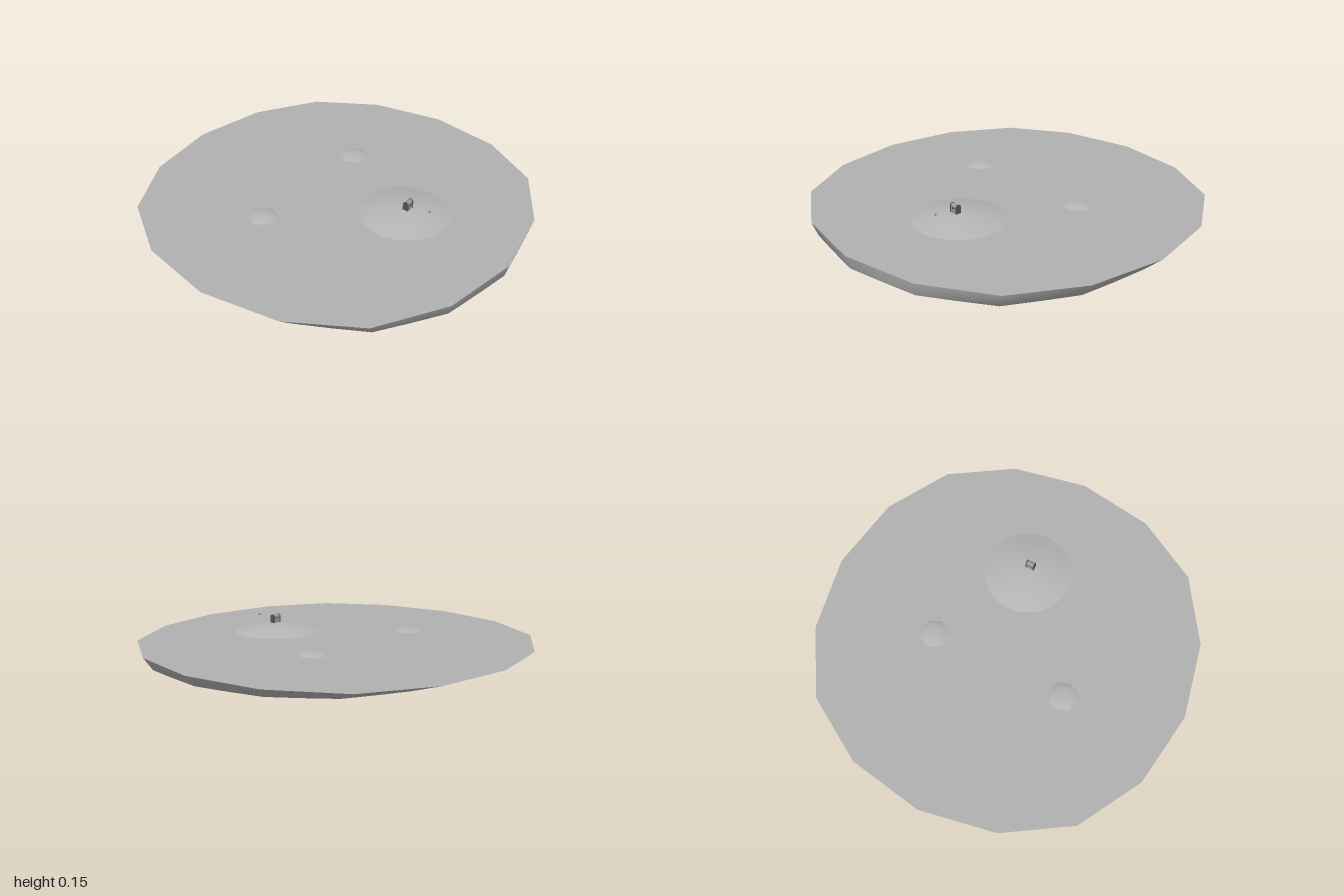
import * as THREE from 'three';

const WATER_Y = 0.07;
const HILL = { x: 0.06, z: 0.38 };

const mat = (name, color, side = THREE.FrontSide) => {
  const m = new THREE.MeshStandardMaterial({ color, side });
  m.name = name;
  return m;
};

// Sixteen-sided shoreline, one quarter turned four times
function shoreline() {
  const quarter = [[1, 0], [0.93, 0.4], [0.73, 0.73], [0.4, 0.93]];
  const pts = [];
  for (let q = 0; q < 4; q++) {
    for (const [x, y] of quarter) {
      pts.push(new THREE.Vector2(x, y).rotateAround(new THREE.Vector2(), q * Math.PI / 2));
    }
  }
  return pts;
}

// Lake bed: rings spreading from the hill top, flat floor, then up to the shore
function lakeBedGeometry(shore) {
  const rim = [];
  shore.forEach((p, i) => {
    rim.push(p, p.clone().lerp(shore[(i + 1) % shore.length], 0.5));
  });
  const n = rim.length, hillRings = 10, hillRadius = 0.57, rings = hillRings + 4;
  const pos = [], index = [];
  for (let i = 0; i <= rings; i++) {
    for (const p of rim) {
      const dx = p.x - HILL.x, dz = p.y - HILL.z, R = Math.hypot(dx, dz);
      const inset = 0.08 * R ** 3;
      let r, y = 0;
      if (i <= hillRings) {
        r = hillRadius * i / hillRings;
        y = 0.055 * (1 + Math.cos(Math.PI * r / hillRadius));
      } else if (i < rings) {
        r = THREE.MathUtils.lerp(hillRadius, R - inset, (i - hillRings) / 3);
      } else {
        r = R;
        y = WATER_Y;
      }
      pos.push(HILL.x + dx / R * r, y, HILL.z + dz / R * r);
    }
  }
  for (let i = 0; i < rings; i++) {
    for (let k = 0; k < n; k++) {
      const a = i * n + k, b = i * n + (k + 1) % n, c = a + n, d = b + n;
      if (i > 0) index.push(a, c, b);
      index.push(b, c, d);
    }
  }
  const g = new THREE.BufferGeometry();
  g.setAttribute('position', new THREE.Float32BufferAttribute(pos, 3));
  g.setIndex(index);
  g.computeVertexNormals();
  // The shared hill top points straight down like the faces around it
  for (let k = 0; k < n; k++) g.attributes.normal.setXYZ(k, 0, -1, 0);
  return g;
}

export function createModel() {
  const root = new THREE.Group();
  root.name = 'islandLake';
  const ground = mat('ground grey', 0xb4b4b4, THREE.DoubleSide);
  const water = mat('water grey', 0xb0b0b0, THREE.DoubleSide);
  const wood = mat('chest grey', 0x9a9a9a);
  const metal = mat('dark trim', 0x555555, THREE.DoubleSide);

  const add = (name, geo, material, x = 0, y = 0, z = 0, parent = root) => {
    const m = new THREE.Mesh(geo, material);
    m.name = name;
    m.position.set(x, y, z);
    parent.add(m);
    return m;
  };

  const shore = shoreline();
  add('lakeBed', lakeBedGeometry(shore), ground);
  add('waterSurface', new THREE.ShapeGeometry(new THREE.Shape(shore)), water, 0, WATER_Y, 0)
    .rotation.x = -Math.PI / 2;

  // Two low islets
  const profile = [[0.082, -0.002], [0.06, 0.009], [0.035, 0.014], [0, 0.015]]
    .map(([x, y]) => new THREE.Vector2(x, y));
  for (const [x, z] of [[-0.4, -0.17], [0.35, -0.155]]) {
    add('islet', new THREE.LatheGeometry(profile, 8), ground, x, WATER_Y, z);
  }

  // Small chest with a rounded lid on the hill
  const chest = new THREE.Group();
  chest.name = 'chest';
  chest.position.set(0.055, 0.108, 0.4);
  root.add(chest);
  add('chestBody', new THREE.BoxGeometry(0.044, 0.029, 0.028), wood, 0, 0.0145, 0, chest);
  const lid = (r, w) => new THREE.CylinderGeometry(r, r, w, 10, 1, false, 0, Math.PI)
    .rotateZ(Math.PI / 2);
  add('chestLid', lid(0.014, 0.044), wood, 0, 0.031, 0, chest);
  add('lidSeam', new THREE.BoxGeometry(0.046, 0.003, 0.03), metal, 0, 0.03, 0, chest);
  for (const s of [-1, 1]) {
    add('sideBand', new THREE.BoxGeometry(0.006, 0.031, 0.031), metal, s * 0.021, 0.0155, 0, chest);
    add('lidBand', lid(0.0155, 0.006), metal, s * 0.021, 0.031, 0, chest);
  }
  add('latch', new THREE.BoxGeometry(0.008, 0.01, 0.003), metal, 0, 0.028, 0.0155, chest);

  // Tiny upright sliver in front of the chest
  const sliver = new THREE.Shape([
    new THREE.Vector2(-0.01, 0.001), new THREE.Vector2(0.01, -0.004), new THREE.Vector2(0.008, 0.004),
  ]);
  add('sliver', new THREE.ShapeGeometry(sliver), metal, 0.058, 0.138, 0.522)
    .rotation.y = -Math.PI / 2;

  return root;
}
